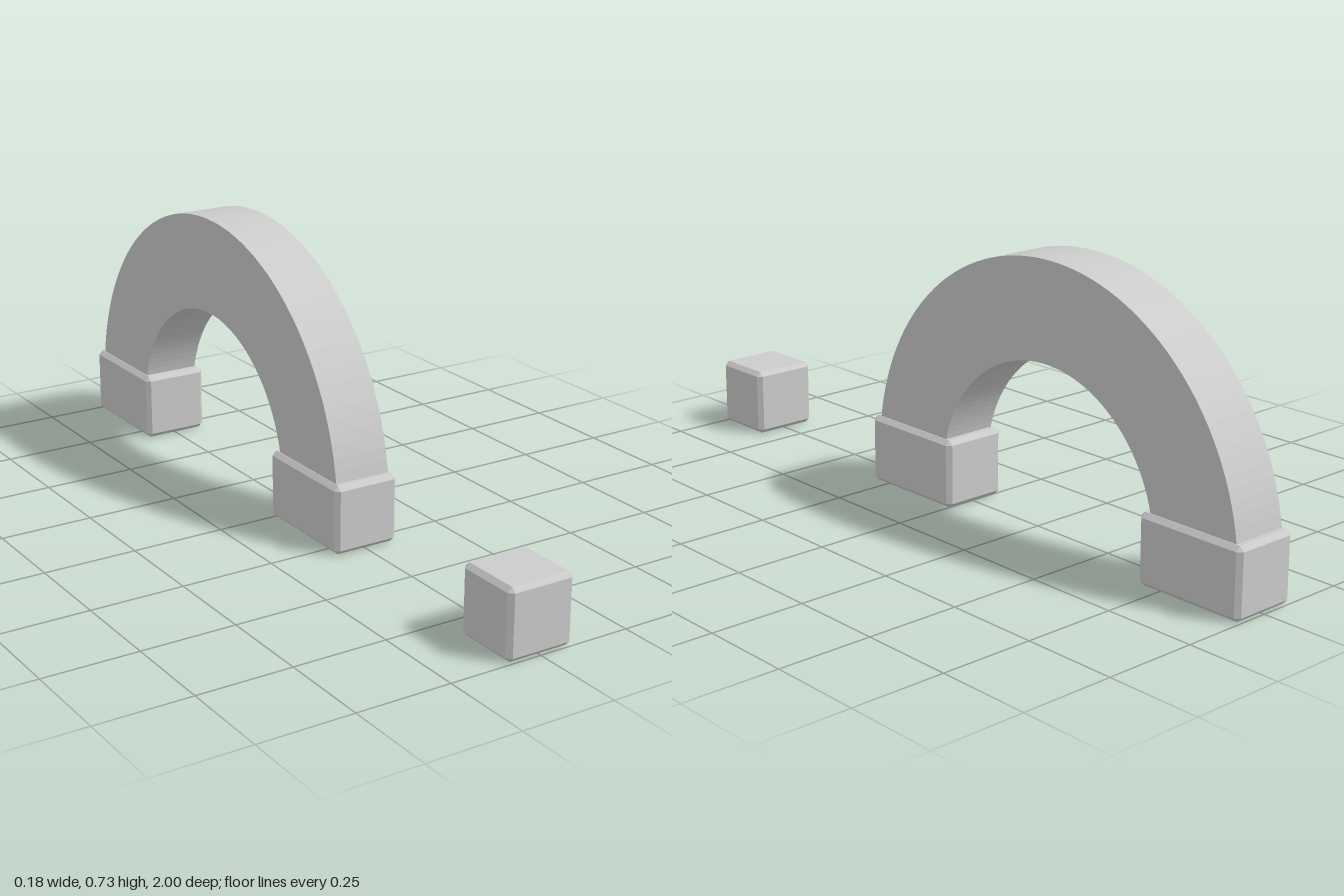
import * as THREE from 'three';
import { ConvexGeometry } from 'three/addons/geometries/ConvexGeometry.js';

const material = new THREE.MeshStandardMaterial({ color: 0xcccccc, flatShading: true });

// Box with every edge cut at 45 degrees: three points around each corner
function chamferedBox(w, h, d, c) {
  const points = [];
  for (const sx of [-1, 1]) for (const sy of [-1, 1]) for (const sz of [-1, 1]) {
    const x = w / 2, y = h / 2, z = d / 2;
    points.push(
      new THREE.Vector3(sx * x, sy * (y - c), sz * (z - c)),
      new THREE.Vector3(sx * (x - c), sy * y, sz * (z - c)),
      new THREE.Vector3(sx * (x - c), sy * (y - c), sz * z)
    );
  }
  return new ConvexGeometry(points);
}

export function createModel() {
  const group = new THREE.Group();
  const size = 0.184, chamfer = 0.012, midY = size / 2;
  const archZ = -0.348, outerR = 0.635, innerR = 0.375, archWidth = 0.156;

  const addBlock = (name, depth, z) => {
    const mesh = new THREE.Mesh(chamferedBox(size, size, depth, chamfer), material);
    mesh.name = name;
    mesh.position.set(0, midY, z);
    group.add(mesh);
  };

  // Loose block in front, and the two feet of the arch
  addBlock('frontBlock', 0.18, 0.91);
  addBlock('frontFoot', 0.315, archZ + 0.4945);
  addBlock('backFoot', 0.315, archZ - 0.4945);

  // Half-ring arch, its ends buried in the feet
  const shape = new THREE.Shape();
  shape.absarc(0, 0, outerR, 0, Math.PI, false);
  shape.absarc(0, 0, innerR, Math.PI, 0, true);
  shape.closePath();
  const archGeometry = new THREE.ExtrudeGeometry(shape, {
    depth: archWidth, bevelEnabled: false, curveSegments: 32
  });
  archGeometry.translate(0, 0, -archWidth / 2);
  archGeometry.rotateY(Math.PI / 2);
  const arch = new THREE.Mesh(archGeometry, material);
  arch.name = 'arch';
  arch.position.set(0, midY, archZ);
  group.add(arch);

  return group;
}
